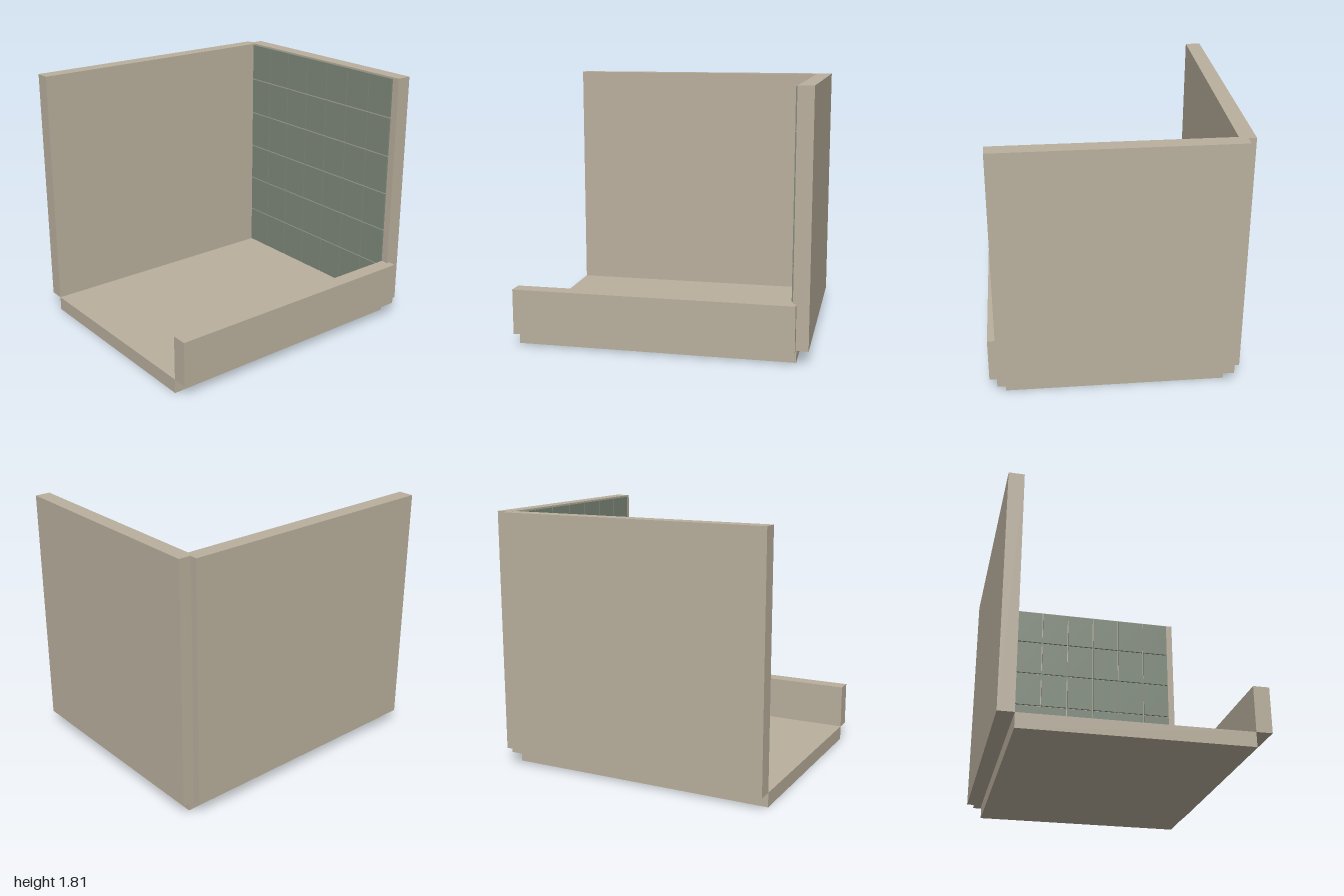
import * as THREE from 'three';

export function createModel() {
  const model = new THREE.Group();
  model.name = 'tiledRoomCorner';

  const plaster = new THREE.MeshStandardMaterial({ color: 0xb9af9d });
  plaster.name = 'beige plaster';
  const glaze = new THREE.MeshStandardMaterial({ color: 0x7f8a7c });
  glaze.name = 'grey green tile';

  // Box given by its lower and upper limits on each axis
  function block(name, material, [x0, x1], [y0, y1], [z0, z1], parent = model) {
    const mesh = new THREE.Mesh(new THREE.BoxGeometry(x1 - x0, y1 - y0, z1 - z0), material);
    mesh.position.set((x0 + x1) / 2, (y0 + y1) / 2, (z0 + z1) / 2);
    mesh.name = name;
    parent.add(mesh);
  }

  // Slab and walls
  block('floor', plaster, [-0.753, 0.753], [0, 0.1], [-0.916, 1]);
  block('backWall', plaster, [-0.807, 0.807], [0.1, 1.807], [-1, -0.893]);
  block('rightWall', plaster, [-0.861, -0.753], [0.1, 1.806], [-0.916, 1]);
  block('leftLowWall', plaster, [0.753, 0.861], [0.1, 0.412], [-0.916, 1]);

  // Grid of tiles on the back wall
  const tiles = new THREE.Group();
  tiles.name = 'wallTiles';
  model.add(tiles);
  const columns = 7, rows = 6, gap = 0.008;
  const left = -0.753, bottom = 0.101;
  const width = (1.506 + gap) / columns, height = (1.696 + gap) / rows;
  for (let r = 0; r < rows; r++) {
    for (let c = 0; c < columns; c++) {
      const x = left + c * width, y = bottom + r * height;
      block('tile', glaze, [x, x + width - gap], [y, y + height - gap], [-0.893, -0.879], tiles);
    }
  }

  return model;
}
